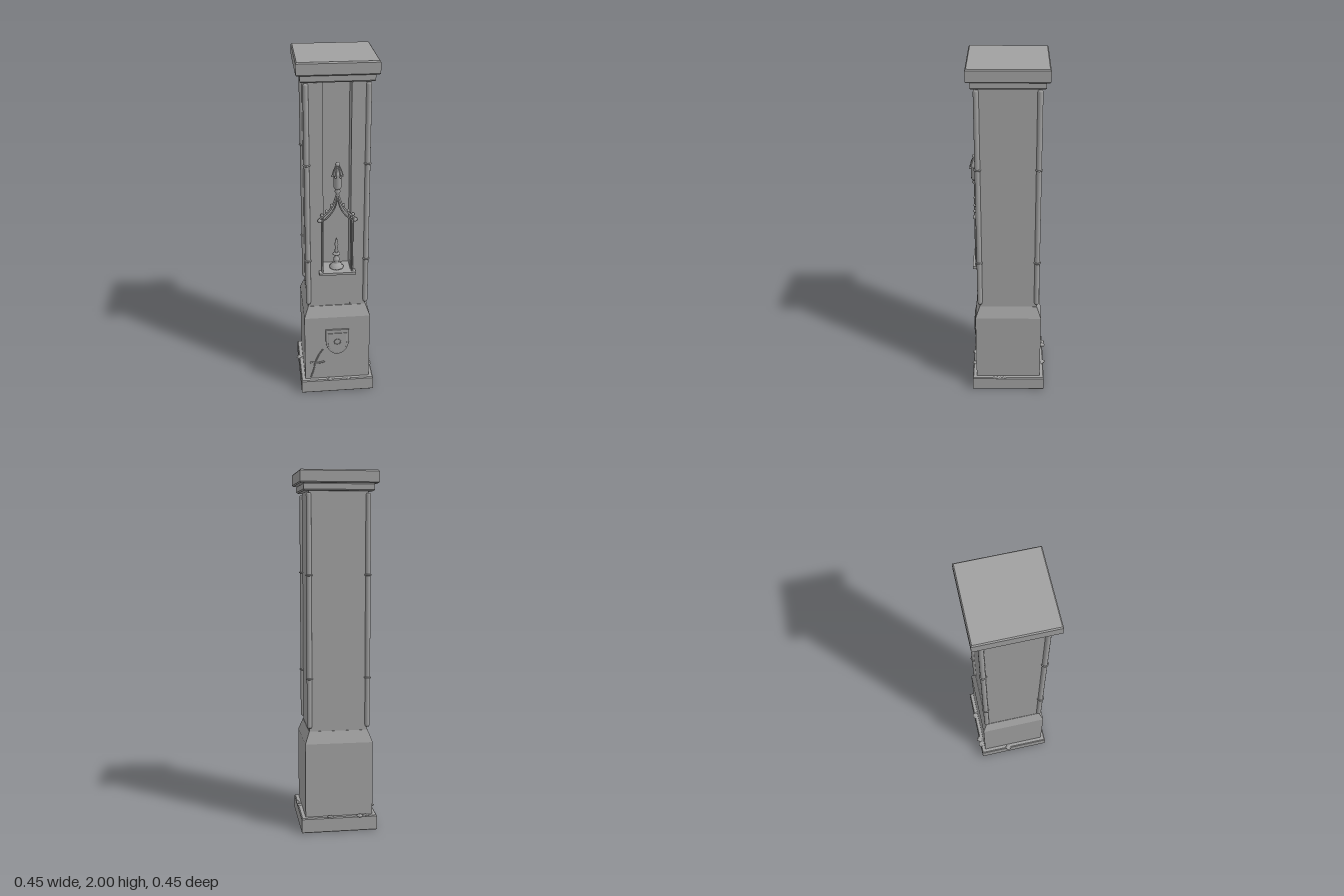
import * as THREE from 'three';

const stone = new THREE.MeshStandardMaterial({ color: 0xa0a0a0 });
stone.name = 'grey stone';
const thinStone = stone;

export function createModel() {
  const root = new THREE.Group();
  root.name = 'nichePillar';
  const pillar = new THREE.Group();
  pillar.name = 'pillar';
  pillar.position.set(0.004, 0, 0.004); // loose stones overhang more on one side
  root.add(pillar);

  const add = (name, geometry, x = 0, y = 0, z = 0) => {
    const mesh = new THREE.Mesh(geometry, thinStone);
    mesh.name = name;
    mesh.position.set(x, y, z);
    pillar.add(mesh);
    return mesh;
  };
  const box = (name, x0, x1, y0, y1, z0, z1) =>
    add(name, new THREE.BoxGeometry(x1 - x0, y1 - y0, z1 - z0), (x0 + x1) / 2, (y0 + y1) / 2, (z0 + z1) / 2);
  // Square block from [half width, height] rings
  const block = (name, rings) => {
    const g = new THREE.LatheGeometry(rings.map(([h, y]) => new THREE.Vector2(h * Math.SQRT2, y)), 4, Math.PI / 4).toNonIndexed();
    g.computeVertexNormals();
    return add(name, g);
  };
  const lathe = (name, pts, x, y, z, seg = 16) =>
    add(name, new THREE.LatheGeometry(pts.map(([r, h]) => new THREE.Vector2(r, h)), seg), x, y, z);
  const tube = (name, pts, r, x = 0, y = 0, z = 0) =>
    add(name, new THREE.TubeGeometry(new THREE.CatmullRomCurve3(
      pts.map(([a, b, c = 0]) => new THREE.Vector3(a, b, c))), 20, r, 6), x, y, z);
  const ball = (name, r, x, y, z) => add(name, new THREE.SphereGeometry(r, 10, 8), x, y, z);

  // Base, plinth and crown
  block('baseSlab', [[0, 0], [0.21, 0], [0.214, 0.004], [0.214, 0.08], [0.209, 0.086], [0, 0.086]]);
  block('plinth', [[0.19, 0.08], [0.19, 0.505], [0.165, 0.572], [0, 0.572]]);
  block('cornice', [[0, 1.89], [0.187, 1.89], [0.193, 1.897], [0.193, 1.926], [0.186, 1.932], [0, 1.932]]);
  block('capSlab', [[0, 1.93], [0.209, 1.93], [0.214, 1.936], [0.214, 1.993], [0.208, 2], [0, 2]]);

  // Shaft: rear body, two jambs framing a niche, infill below the shelf
  const S = 0.163, N = 0.075;
  box('shaftBody', -S, S, 0.57, 1.892, -S, 0.068);
  for (const s of [-1, 1]) {
    const [a, b] = s < 0 ? [-S, -N] : [N, S];
    box('nicheJamb', a, b, 0.57, 1.892, 0.068, S);
  }
  box('nichePedestal', -N, N, 0.57, 0.79, 0.068, S - 0.002);
  box('nicheShelf', -0.102, 0.102, 0.79, 0.804, 0.068, 0.203);

  // Corner shafts with ring mouldings
  for (const x of [-S, S]) for (const z of [-S, S]) {
    lathe('cornerShaft', [[0, 0], [0.011, 0], [0.0145, 0.012], [0.0145, 1.278], [0.011, 1.288], [0, 1.288]], x, 0.592, z);
    for (const y of [0.87, 1.44]) {
      const ring = add('shaftRing', new THREE.TorusGeometry(0.0155, 0.005, 6, 18), x, y, z);
      ring.rotation.x = Math.PI / 2;
    }
  }

  // Canopy: slender posts, ogee ribs and crockets
  const cz = 0.184;
  for (const s of [-1, 1]) {
    add('canopyPost', new THREE.CylinderGeometry(0.005, 0.005, 0.325, 8), s * 0.083, 0.965, cz);
    tube('outerRib', [[s * 0.1, 1.128], [s * 0.075, 1.15], [s * 0.045, 1.18], [s * 0.02, 1.225], [0, 1.29]], 0.0055, 0, 0, cz);
    tube('innerRib', [[s * 0.083, 1.118], [s * 0.062, 1.133], [s * 0.037, 1.16], [s * 0.014, 1.2], [0, 1.255]], 0.0045, 0, 0, cz);
    ball('ribEnd', 0.0125, s * 0.097, 1.123, cz);
    for (const [x, y] of [[0.085, 1.155], [0.06, 1.178], [0.033, 1.212]])
      ball('crocket', 0.009, s * x, y, cz);
  }

  // Finial turret above the canopy
  lathe('finialStem', [[0, 0], [0.008, 0], [0.007, 0.02], [0.017, 0.035], [0.01, 0.045], [0.01, 0.055]], 0, 1.258, cz);
  lathe('turret', [[0, 0], [0.015, 0], [0.021, 0.008], [0.021, 0.075], [0.026, 0.08], [0.024, 0.09],
    [0.012, 0.122], [0.005, 0.135], [0, 0.136]], 0, 1.308, cz, 12);
  ball('turretFinial', 0.013, 0, 1.448, cz);
  for (let i = 0; i < 6; i++) {
    const a = i * Math.PI / 3, c = Math.cos(a), s = Math.sin(a);
    tube('turretRib', [[0.027 * c, 1.38, 0.027 * s], [0.024 * c, 1.4, 0.024 * s], [0.011 * c, 1.435, 0.011 * s]], 0.004, 0, 0, cz);
    ball('turretKnob', 0.0065, 0.028 * c, 1.383, cz + 0.028 * s);
  }

  // Small ornament standing in the niche
  lathe('nicheFigureBase', [[0, 0], [0.04, 0], [0.04, 0.008], [0.032, 0.011], [0.032, 0.02], [0.018, 0.026], [0.011, 0.034],
    [0.018, 0.046], [0.017, 0.058], [0.009, 0.07], [0.009, 0.08], [0.021, 0.083], [0.021, 0.089], [0.007, 0.094]], 0, 0.804, 0.132);
  lathe('nicheFigure', [[0.007, 0], [0.011, 0.012], [0.008, 0.035], [0.011, 0.055], [0.007, 0.078], [0, 0.1]], 0, 0.895, 0.132, 10);

  // Shield with a raised centre panel and boss
  const shieldShape = k => {
    const s = new THREE.Shape();
    s.moveTo(-0.068 * k, 0.078 * k);
    s.lineTo(-0.068 * k, 0);
    s.bezierCurveTo(-0.066 * k, -0.055 * k, -0.035 * k, -0.085 * k, 0, -0.092 * k);
    s.bezierCurveTo(0.035 * k, -0.085 * k, 0.066 * k, -0.055 * k, 0.068 * k, 0);
    s.lineTo(0.068 * k, 0.078 * k);
    s.closePath();
    return s;
  };
  const extrude = (shape, depth, bevel) => new THREE.ExtrudeGeometry(shape, {
    depth, bevelEnabled: true, bevelSize: bevel, bevelThickness: bevel, bevelSegments: 2, curveSegments: 10 });
  add('shield', extrude(shieldShape(0.97), 0.01, 0.002), 0, 0.347, 0.188);
  add('shieldPanel', extrude(shieldShape(0.78), 0.003, 0.002), 0, 0.34, 0.199);
  add('shieldBoss', new THREE.TorusGeometry(0.018, 0.003, 6, 16), 0, 0.345, 0.204);

  // Curved relief with a crosspiece, low on the front
  tube('reliefStem', [[-0.085, 0.29], [-0.11, 0.25], [-0.13, 0.2], [-0.14, 0.15], [-0.158, 0.095]], 0.004, 0, 0, 0.191);
  tube('reliefCrosspiece', [[-0.162, 0.2], [-0.15, 0.203], [-0.12, 0.197], [-0.09, 0.2], [-0.076, 0.206]], 0.0055, 0, 0, 0.191);

  // Loose stones lying on the base ledge
  const stones = [[-0.148, -0.21, 0.021], [-0.115, -0.21, 0.023], [0.054, -0.207, 0.022], [-0.212, -0.038, 0.02],
    [0.205, 0.022, 0.017], [0.206, 0.055, 0.016], [0.206, 0.076, 0.016], [-0.045, 0.21, 0.017], [0.065, 0.205, 0.018]];
  stones.forEach(([x, z, r], i) => {
    const g = new THREE.IcosahedronGeometry(r, 0);
    g.scale(1, 0.38, 0.9);
    g.rotateY(i * 1.3);
    add('looseStone', g, x, 0.086, z);
  });

  return root;
}
